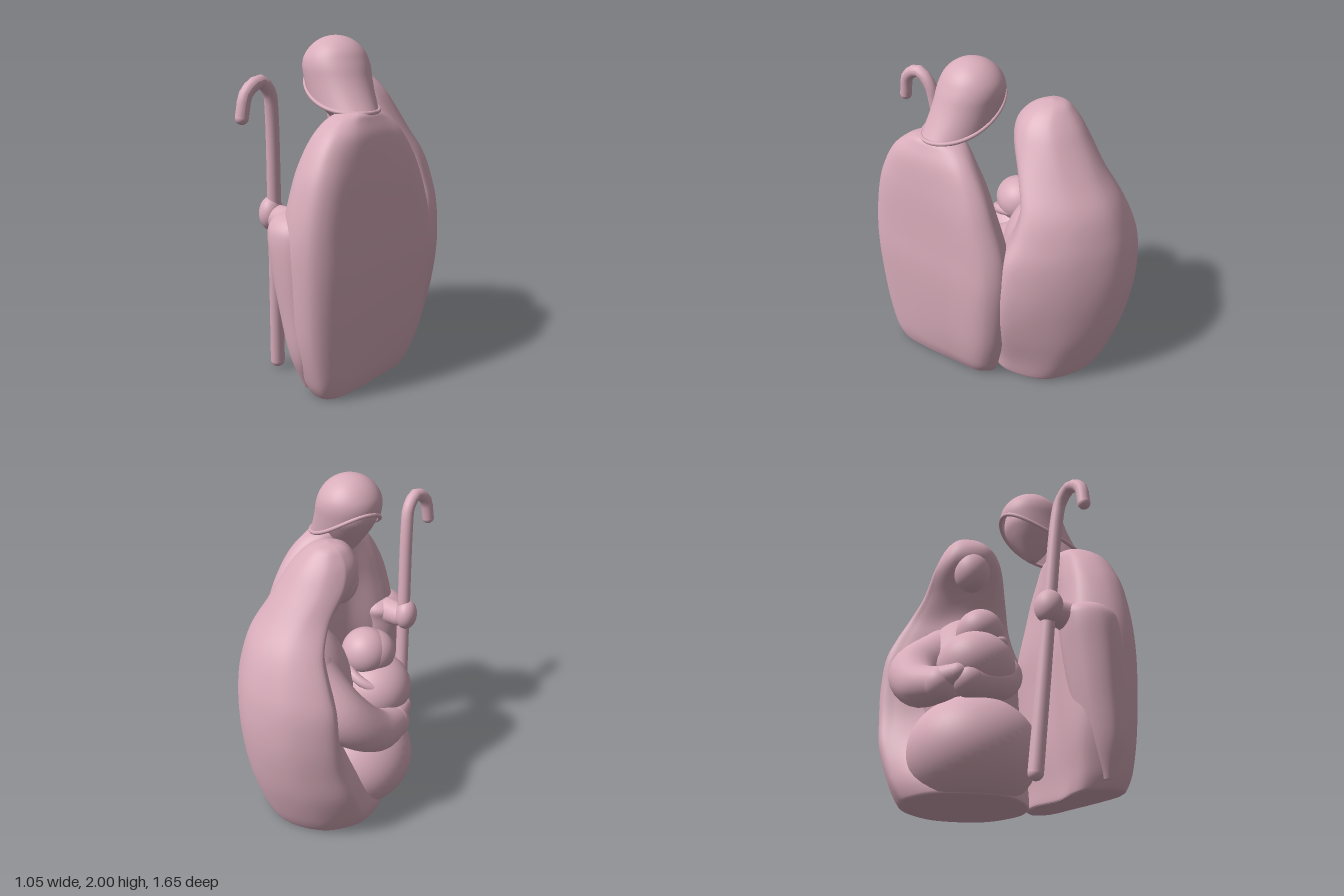
import * as THREE from 'three';

const clay = new THREE.MeshStandardMaterial({ color: 0xd9adbb, side: THREE.DoubleSide });
clay.name = 'rose clay';
const V = (x, y, z) => new THREE.Vector3(x, y, z);

function add(group, name, geometry) {
  const mesh = new THREE.Mesh(geometry, clay);
  mesh.name = name;
  group.add(mesh);
  return mesh;
}

// Smooth skin over closed rings ordered from bottom to top
function skin(rings, floor = true) {
  const n = rings[0].length, pos = [], idx = [];
  const push = p => pos.push(p.x, p.y, p.z) / 3 - 1;
  rings.forEach(r => r.forEach(push));
  for (let j = 0; j < rings.length - 1; j++) for (let i = 0; i < n; i++) {
    const a = j * n + i, b = j * n + (i + 1) % n;
    idx.push(a, a + n, b, b, a + n, b + n);
  }
  const middle = r => r.reduce((s, p) => s.add(p), V(0, 0, 0)).divideScalar(n);
  const top = rings[rings.length - 1], t0 = (rings.length - 1) * n, tc = push(middle(top));
  for (let i = 0; i < n; i++) idx.push(tc, t0 + (i + 1) % n, t0 + i);
  if (floor) {
    const c = push(middle(rings[0])), f = pos.length / 3;
    rings[0].forEach(push);
    for (let i = 0; i < n; i++) idx.push(c, f + i, f + (i + 1) % n);
  }
  const g = new THREE.BufferGeometry();
  g.setAttribute('position', new THREE.Float32BufferAttribute(pos, 3));
  g.setIndex(idx);
  g.computeVertexNormals();
  return g;
}

// Robe: a unit outline fitted to [y, xMin, xMax, zMin, zMax, roundness] at each height
function robe(outline, keys) {
  const curve = (a, b, c) => new THREE.CatmullRomCurve3(
    keys.map(k => V(k[a], k[b], k[c])), false, 'catmullrom', 0.5);
  const xs = curve(0, 1, 2), zs = curve(3, 4, 5);
  const rings = [], steps = (keys.length - 1) * 5;
  for (let j = 0; j <= steps; j++) {
    const a = xs.getPoint(j / steps), b = zs.getPoint(j / steps);
    const m = THREE.MathUtils.clamp(b.z, 0, 1);
    const section = new THREE.CatmullRomCurve3(outline.map(([nx, nz]) => {
      const t = Math.atan2(nz - 0.5, nx - 0.5);
      const u = THREE.MathUtils.lerp(nx, 0.5 + 0.5 * Math.cos(t), m);
      const w = THREE.MathUtils.lerp(nz, 0.5 + 0.5 * Math.sin(t), m);
      return V(a.y + (a.z - a.y) * u, Math.max(0, a.x), b.x + (b.y - b.x) * w);
    }), true, 'centripetal');
    rings.push(section.getPoints(96).slice(0, 96));
  }
  return skin(rings);
}

// Ellipsoid, flattened just above the floor
function blob(group, name, c, r) {
  const g = new THREE.SphereGeometry(1, 48, 32);
  g.scale(...r).translate(...c);
  const p = g.attributes.position;
  for (let i = 0; i < p.count; i++) p.setY(i, Math.max(0.008, p.getY(i)));
  return add(group, name, g);
}

// Round limb with a radius that changes along the path, and domed ends
function limb(group, name, pts, r0, r1) {
  const curve = new THREE.CatmullRomCurve3(pts.map(p => V(...p)));
  const T = 48, R = 24, g = new THREE.TubeGeometry(curve, T, 1, R);
  const p = g.attributes.position, v = V(0, 0, 0);
  for (let i = 0; i < p.count; i++) {
    const t = Math.floor(i / (R + 1)) / T, c = curve.getPointAt(t);
    v.fromBufferAttribute(p, i).sub(c).multiplyScalar(THREE.MathUtils.lerp(r0, r1, t)).add(c);
    p.setXYZ(i, v.x, v.y, v.z);
  }
  g.computeVertexNormals();
  add(group, name, g);
  blob(group, name + 'Start', pts[0], [r0, r0, r0]);
  blob(group, name + 'End', pts[pts.length - 1], [r1, r1, r1]);
}

function standingFigure() {
  const g = new THREE.Group();
  g.name = 'standingFigure';
  const outline = [[1, .14], [.84, .42], [.6, .77], [.43, .955], [.29, 1], [.1, .93], [-.01, .74],
    [.08, .6], [.32, .42], [.46, .18], [.7, .02], [.93, .01]];
  add(g, 'standingRobe', robe(outline, [
    [0, -.06, .35, .03, .68, 0], [.02, -.08, .37, .01, .71, 0], [.12, -.12, .42, -.01, .755, 0],
    [.35, -.18, .48, -.05, .8, 0], [.7, -.2, .52, -.08, .825, 0], [.95, -.2, .51, -.07, .82, 0],
    [1.2, -.155, .47, 0, .78, .05], [1.35, -.115, .43, .05, .73, .15], [1.47, -.065, .38, .11, .665, .3],
    [1.55, -.01, .32, .165, .58, .5], [1.59, .05, .27, .22, .51, .75], [1.605, .12, .2, .3, .42, 1],
    [1.607, .155, .165, .34, .36, 1]]));
  // Fold of cloth hanging from the forearm
  const oval = Array.from({ length: 8 }, (_, i) =>
    [.5 + .5 * Math.cos(i * Math.PI / 4), .5 + .5 * Math.sin(i * Math.PI / 4)]);
  add(g, 'hangingSleeve', robe(oval, [
    [.05, -.08, -.04, .62, .67, 1], [.25, -.16, .04, .52, .76, 1], [.5, -.22, .06, .47, .78, 1],
    [.75, -.265, .06, .44, .79, 1], [.92, -.29, .05, .43, .78, 1], [1, -.28, .03, .42, .75, 1],
    [1.05, -.21, 0, .48, .69, 1], [1.06, -.12, -.09, .58, .6, 1]]));

  // Draped hood, open toward the child
  const u = [.73, .68], rings = [];
  for (let j = 32; j >= 1; j--) {
    rings.push(Array.from({ length: 64 }, (_, i) => {
      const t = i / 64 * Math.PI * 2, c = Math.cos(t), s = Math.sin(t);
      const drop = (.41 - .22 * ((1 - c) / 2) ** 2) * (j / 32) ** 2;
      const k = Math.max(0, drop - .12) / .29;
      const r = drop < .2 ? .2 * Math.sqrt(1 - (1 - drop / .2) ** 2) : .2;
      const e = r * c + (.095 + .04 * c) * k ** 1.5, w = r * s * (1 - .12 * k);
      return V(-.02 + u[0] * e - u[1] * w, 2 - drop, .2 + u[1] * e + u[0] * w);
    }));
  }
  add(g, 'hood', skin(rings, false));
  add(g, 'hoodRim', new THREE.TubeGeometry(
    new THREE.CatmullRomCurve3(rings[0], true), 96, .012, 10, true));

  // Face tapering into a pointed beard
  const profile = [[0, 1.52], [.03, 1.53], [.09, 1.6], [.15, 1.69], [.178, 1.77], [.15, 1.87], [0, 1.94]];
  const face = add(g, 'beardedFace', new THREE.LatheGeometry(
    new THREE.SplineCurve(profile.map(p => new THREE.Vector2(...p))).getPoints(30), 40));
  face.position.set(-.01, 0, .21);

  // Sleeve, hand and crook
  limb(g, 'sleeve', [[-.1, .96, .57], [-.2, .97, .52], [-.29, .98, .465]], .1, .075);
  blob(g, 'hand', [-.335, 1, .45], [.07, .1, .085]);
  limb(g, 'staff', [[-.35, .05, .36], [-.33, .6, .41], [-.315, 1.1, .455], [-.3, 1.6, .505],
    [-.3, 1.7, .53], [-.325, 1.765, .6], [-.37, 1.71, .685], [-.39, 1.58, .71]], .043, .037);
  return g;
}

function seatedFigure() {
  const g = new THREE.Group();
  g.name = 'seatedFigure';
  const outline = [[.96, .96], [.78, 1], [.45, .96], [.33, .78], [.22, .52], [.07, .25], [.04, .12],
    [.35, 0], [.7, .11], [.92, .42], [1, .78]];
  add(g, 'hoodedCloak', robe(outline, [
    [0, -.36, .36, -.61, .11, .95], [.02, -.39, .38, -.64, .12, .95], [.14, -.41, .42, -.7, .1, .8],
    [.35, -.37, .48, -.77, .05, .4], [.55, -.3, .51, -.805, .01, .1], [.75, -.27, .52, -.82, -.01, 0],
    [.95, -.25, .505, -.805, -.04, 0], [1.1, -.2, .465, -.76, -.1, .05], [1.25, -.15, .41, -.69, -.125, .15],
    [1.4, -.15, .32, -.59, -.09, .4], [1.55, -.205, .23, -.5, -.045, .85], [1.65, -.2, .165, -.44, -.055, 1],
    [1.72, -.165, .1, -.385, -.11, 1], [1.76, -.12, .04, -.34, -.18, 1],
    [1.778, -.045, -.03, -.27, -.25, 1]]));
  blob(g, 'seatedFace', [-.08, 1.52, -.19], [.11, .14, .12]);
  blob(g, 'torso', [.1, .75, -.33], [.3, .52, .35]);
  blob(g, 'lap', [-.15, .27, -.12], [.38, .33, .38]);
  limb(g, 'nearSleeve', [[.05, 1, -.45], [-.19, .83, -.51], [-.36, .66, -.37], [-.42, .61, -.19]], .2, .105);
  limb(g, 'farSleeve', [[.12, .92, -.15], [-.05, .76, .02], [-.22, .65, .06], [-.38, .62, -.02]], .13, .1);
  limb(g, 'nearHand', [[-.43, .64, -.17], [-.445, .65, -.06]], .075, .06);
  return g;
}

function infant() {
  const g = new THREE.Group();
  g.name = 'infant';
  blob(g, 'swaddledBody', [-.26, .75, -.05], [.23, .21, .23]);
  blob(g, 'infantCap', [-.205, .995, -.055], [.145, .145, .145]);
  blob(g, 'infantHead', [-.245, .985, -.03], [.135, .135, .135]);
  // Folded blanket edge around the neck
  const edge = add(g, 'blanketEdge', new THREE.TorusGeometry(.165, .03, 16, 64));
  edge.quaternion.setFromUnitVectors(V(0, 0, 1), V(-.42, .9, -.05).normalize());
  edge.position.set(-.25, .88, -.06);
  return g;
}

export function createModel() {
  const model = new THREE.Group();
  model.name = 'familyFigurine';
  model.add(standingFigure(), seatedFigure(), infant());
  return model;
}
